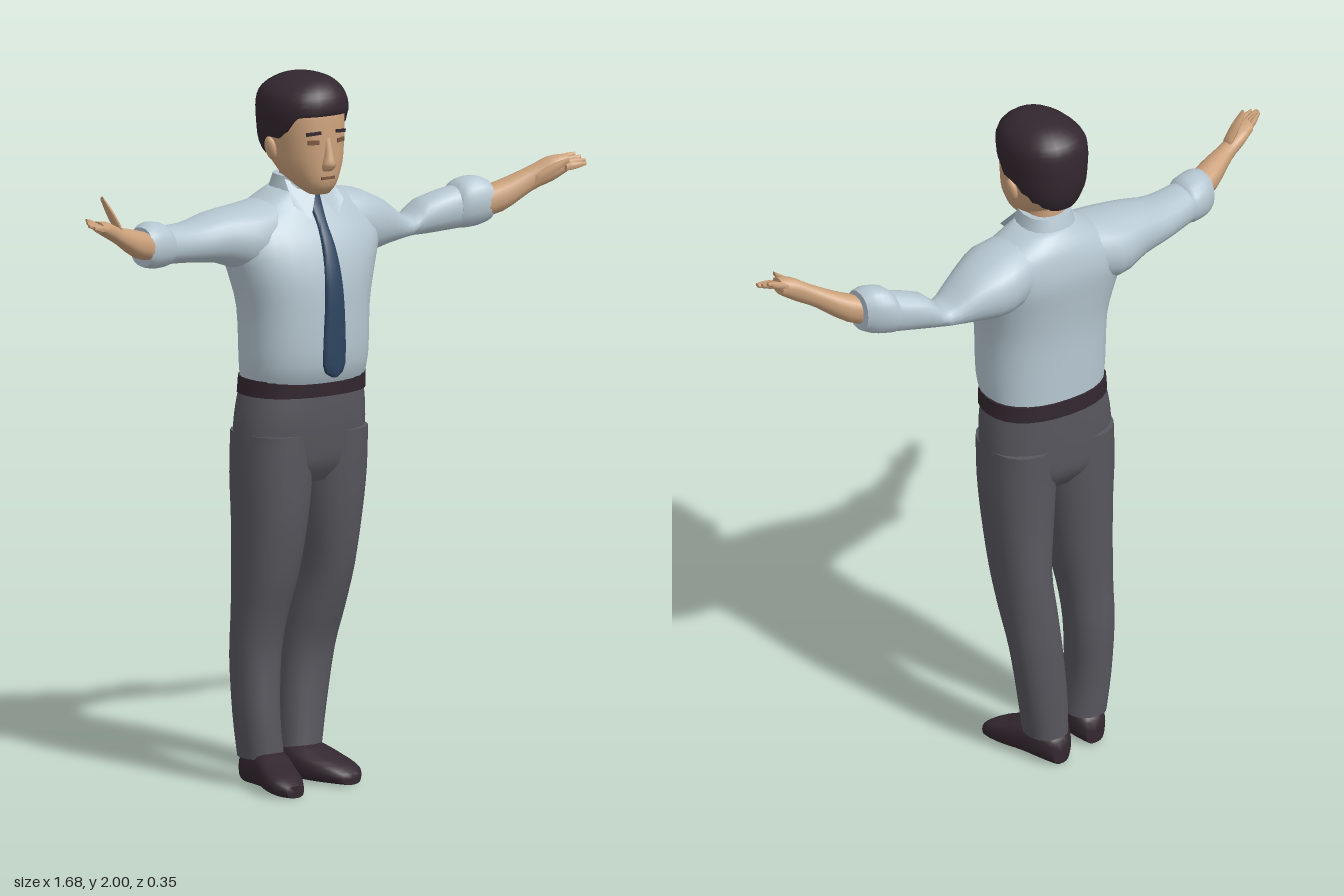
import * as THREE from 'three';
import { toCreasedNormals } from 'three/addons/utils/BufferGeometryUtils.js';

const mat = (name, color, side = THREE.FrontSide) => {
  const m = new THREE.MeshStandardMaterial({ color, side });
  m.name = name;
  return m;
};

// Cubic interpolation of a list of cross-sections
function smoothRings(rings, steps) {
  const out = [], n = rings.length;
  const at = i => rings[Math.min(n - 1, Math.max(0, i))];
  for (let i = 0; i < n - 1; i++) {
    for (let s = 0; s < steps; s++) {
      const t = s / steps;
      out.push(rings[i].map((p1, k) => {
        const p0 = at(i - 1)[k], p2 = at(i + 1)[k], p3 = at(i + 2)[k];
        return p1 + 0.5 * t * (p2 - p0 + t * (2 * p0 - 5 * p1 + 4 * p2 - p3 + t * (3 * (p1 - p2) + p3 - p0)));
      }));
    }
  }
  out.push(rings[n - 1]);
  return out;
}

// Closed skin over rounded sections [position, aMin, aMax, bMin, bMax].
// Axis y: a = x, b = z.  Axis x: a = y, b = z.  Axis z: a = x, b = y.
function loft(axis, sections, { segs = 20, power = 2.3, steps = 3, move } = {}) {
  const rings = smoothRings(sections, steps), pos = [], index = [];
  const put = (t, a, b) => {
    const p = axis === 'y' ? [a, t, b] : axis === 'x' ? [t, a, b] : [a, b, t];
    if (move) move(p);
    pos.push(...p);
  };
  const round = v => Math.sign(v) * Math.abs(v) ** (2 / power);
  for (const [t, a0, a1, b0, b1] of rings) {
    for (let j = 0; j < segs; j++) {
      const th = j / segs * Math.PI * 2;
      put(t, (a0 + a1) / 2 + (a1 - a0) / 2 * round(Math.cos(th)), (b0 + b1) / 2 + (b1 - b0) / 2 * round(Math.sin(th)));
    }
  }
  const last = rings.length - 1, flip = (axis !== 'y') !== (rings[last][0] < rings[0][0]);
  const tri = (a, b, c) => flip ? index.push(a, c, b) : index.push(a, b, c);
  for (const i of [0, last]) {
    const [t, a0, a1, b0, b1] = rings[i];
    put(t, (a0 + a1) / 2, (b0 + b1) / 2);
  }
  const c0 = rings.length * segs;
  for (let j = 0; j < segs; j++) {
    const k = (j + 1) % segs, e = last * segs;
    for (let i = 0; i < last; i++) {
      const p = i * segs, q = p + segs;
      tri(p + j, q + j, p + k);
      tri(p + k, q + j, q + k);
    }
    tri(c0, j, k);
    tri(c0 + 1, e + k, e + j);
  }
  const g = new THREE.BufferGeometry();
  g.setAttribute('position', new THREE.Float32BufferAttribute(pos, 3));
  g.setIndex(index);
  return toCreasedNormals(g, 0.9);
}

export function createModel() {
  const root = new THREE.Group();
  root.name = 'standingMan';
  const shirt = mat('shirtBlue', 0xb6c7d1), skin = mat('skin', 0xcca27c);
  const grey = mat('trouserGrey', 0x58575e), dark = mat('darkBrown', 0x33272f);
  const navy = mat('tieNavy', 0x2c4460), shade = mat('faceBrown', 0x7a573f);
  const cloth = mat('collarBlue', 0xb6c7d1, THREE.DoubleSide);
  const add = (name, geo, m) => {
    const mesh = new THREE.Mesh(geo, m);
    mesh.name = name;
    root.add(mesh);
    return mesh;
  };

  // Shirt body
  const torso = [
    [1.13, -.2, .155, -.15, .11], [1.2, -.213, .16, -.15, .14], [1.35, -.222, .165, -.15, .143],
    [1.45, -.248, .19, -.16, .135], [1.53, -.27, .22, -.17, .112], [1.59, -.25, .21, -.165, .08],
    [1.64, -.17, .15, -.15, .05], [1.68, -.1, .065, -.12, .035]];
  add('shirtBody', loft('y', torso, { segs: 28 }), shirt);

  // Tie follows the front of the shirt
  const tieHalf = [.006, .037, .033, .027, .021, .016, .02, .018];
  add('tie', loft('y', torso.map((r, i) => {
    const z = i ? r[4] : .138, w = tieHalf[i];
    return [i ? r[0] : 1.165, -.025 - w, -.025 + w, z - .012, z + .01];
  }), { segs: 12, power: 3 }), navy);

  // Collar band and flaps
  add('collarBand', loft('y', [[1.65, -.11, .07, -.125, .04], [1.685, -.098, .058, -.115, .045],
    [1.715, -.09, .05, -.105, .038]]), shirt);
  for (const s of [-1, 1]) {
    const flap = new THREE.BufferGeometry();
    const pts = [[.072, 1.71, 0], [.006, 1.675, .056], [.045, 1.605, .09], [.085, 1.645, .062]];
    flap.setAttribute('position', new THREE.Float32BufferAttribute(pts.flatMap(p => [-.022 + s * p[0], p[1], p[2]]), 3));
    flap.setIndex(s > 0 ? [0, 1, 2, 0, 2, 3] : [0, 2, 1, 0, 3, 2]);
    flap.computeVertexNormals();
    add('collarFlap', flap, cloth);
  }

  // Sleeves with rolled cuffs
  add('rightSleeve', loft('x', [
    [-.08, 1.5, 1.665, -.14, .04], [-.2, 1.46, 1.645, -.165, .07], [-.3, 1.49, 1.635, -.14, .05],
    [-.4, 1.505, 1.615, -.115, .04], [-.52, 1.515, 1.62, -.075, .045]]), shirt);
  add('rightCuff', loft('x', [
    [-.485, 1.515, 1.61, -.08, .04], [-.505, 1.508, 1.63, -.085, .05], [-.55, 1.508, 1.638, -.075, .056],
    [-.58, 1.517, 1.628, -.055, .055]]), shirt);
  add('leftSleeve', loft('x', [
    [.06, 1.5, 1.665, -.14, .04], [.17, 1.465, 1.65, -.17, .06], [.27, 1.475, 1.605, -.15, .02],
    [.355, 1.488, 1.545, -.125, -.01], [.41, 1.49, 1.59, -.112, 0], [.53, 1.5, 1.625, -.08, .025]]), shirt);
  add('leftCuff', loft('x', [
    [.5, 1.5, 1.615, -.09, .02], [.52, 1.498, 1.635, -.09, .032], [.56, 1.503, 1.643, -.075, .042],
    [.59, 1.515, 1.632, -.055, .045]]), shirt);

  // Forearms and palms
  add('rightForearm', loft('x', [
    [-.54, 1.53, 1.605, -.045, .045], [-.62, 1.55, 1.63, -.015, .07], [-.7, 1.6, 1.652, .028, .083],
    [-.75, 1.628, 1.675, .04, .105], [-.79, 1.65, 1.682, .058, .118]], { segs: 14 }), skin);
  add('leftForearm', loft('x', [
    [.54, 1.52, 1.6, -.05, .03], [.62, 1.54, 1.625, -.02, .06], [.7, 1.595, 1.662, .025, .085],
    [.75, 1.62, 1.69, .05, .11], [.79, 1.645, 1.695, .068, .122]], { segs: 14 }), skin);

  // Fingers and thumbs
  const finger = (name, x0, y0, z0, x1, y1, z1, r) => add(name, loft('x', [
    [x0, y0 - r, y0 + r, z0 - r, z0 + r], [(x0 + x1) / 2, (y0 + y1) / 2 - r, (y0 + y1) / 2 + r, (z0 + z1) / 2 - r, (z0 + z1) / 2 + r],
    [x1, y1 - r * .5, y1 + r * .5, z1 - r * .5, z1 + r * .5]], { segs: 8 }), skin);
  for (let i = 0; i < 4; i++) {
    const tip = .843 - Math.abs(i - 1.8) * .008, z = i * .015;
    finger('rightFinger', -.775, 1.662, .064 + z, -tip, 1.69 - i * .005, .085 + z, .0095);
    finger('leftFinger', .775, 1.675 - i * .004, .073 + z, tip, 1.69 - i * .007, .09 + z, .011);
  }
  finger('rightThumb', -.7, 1.645, .06, -.75, 1.735, .05, .016);
  finger('leftThumb', .7, 1.63, .075, .775, 1.685, .135, .014);

  // Neck, head, nose and ears
  add('neck', loft('y', [[1.64, -.085, .045, -.1, .03], [1.7, -.075, .035, -.09, .03], [1.78, -.075, .035, -.09, .04]]), skin);
  add('head', loft('y', [
    [1.672, -.05, .01, .03, .085], [1.7, -.08, .036, -.04, .107], [1.75, -.106, .064, -.1, .113],
    [1.8, -.118, .075, -.13, .114], [1.87, -.125, .081, -.14, .113], [1.92, -.12, .076, -.135, .105],
    [1.96, -.08, .04, -.09, .06]]), skin);
  add('nose', loft('y', [[1.742, -.042, -.008, .09, .118], [1.758, -.046, -.004, .09, .137],
    [1.79, -.038, -.012, .09, .13], [1.835, -.035, -.015, .09, .117]], { segs: 10, power: 1.7 }), skin);
  for (const s of [-1, 1]) {
    const ear = add('ear', new THREE.SphereGeometry(1, 12, 8), skin);
    ear.scale.set(.013, .034, .022);
    ear.position.set(-.023 + s * .104, 1.798, -.02);
    ear.rotation.z = -s * .2;
    // Eyes and brows
    const eye = add('eye', new THREE.BoxGeometry(.032, .012, .008), shade);
    eye.position.set(-.024 + s * .045, 1.825, .104);
    const brow = add('eyebrow', new THREE.BoxGeometry(.042, .009, .009), dark);
    brow.position.set(-.024 + s * .045, 1.85, .104);
    eye.rotation.y = brow.rotation.y = s * .35;
    brow.rotation.z = -s * .1;
  }
  add('mouth', new THREE.BoxGeometry(.045, .008, .009), shade).position.set(-.024, 1.722, .107);

  // Hair, cut along a hairline that drops from forehead to nape
  const hairline = [[-.2, 1.75], [-.12, 1.755], [-.035, 1.83], [.03, 1.83], [.075, 1.895], [.2, 1.905]];
  const cut = p => {
    const i = Math.max(1, hairline.findIndex(h => p[2] < h[0]));
    const [z0, y0] = hairline[i - 1], [z1, y1] = hairline[i];
    p[1] = Math.max(p[1], y0 + (y1 - y0) * (p[2] - z0) / (z1 - z0));
  };
  add('hair', loft('y', [
    [1.75, -.095, .052, -.132, .09], [1.8, -.124, .08, -.15, .1], [1.86, -.134, .089, -.156, .116],
    [1.92, -.137, .092, -.155, .122], [1.96, -.12, .078, -.14, .108], [1.99, -.075, .045, -.095, .07],
    [2, -.035, .01, -.05, .025]], { segs: 24, move: cut }), dark);

  // Belt
  add('belt', loft('y', [[1.108, -.212, .165, -.156, .117], [1.155, -.208, .162, -.156, .12]],
    { segs: 28, steps: 1 }), dark);

  // Trousers
  add('trouserSeat', loft('y', [[.86, -.19, .13, -.11, .06], [.91, -.222, .162, -.142, .09],
    [.97, -.228, .169, -.148, .1], [1.05, -.223, .168, -.15, .108], [1.13, -.205, .158, -.15, .11]], { segs: 28 }), grey);
  add('rightTrouserLeg', loft('y', [
    [.08, -.203, -.085, -.112, .025], [.2, -.215, -.095, -.12, .022], [.36, -.22, -.085, -.13, .015],
    [.48, -.22, -.072, -.128, .033], [.6, -.222, -.05, -.132, .065], [.75, -.225, -.03, -.137, .088],
    [.88, -.23, -.018, -.142, .096], [1, -.225, -.02, -.145, .1]]), grey);
  add('leftTrouserLeg', loft('y', [
    [.08, -.045, .075, -.152, -.022], [.2, -.04, .097, -.156, -.028], [.36, -.022, .125, -.161, -.025],
    [.48, -.01, .14, -.16, .012], [.6, 0, .15, -.155, .048], [.75, -.018, .162, -.146, .075],
    [.88, -.03, .17, -.145, .09], [1, -.03, .168, -.148, .1]]), grey);

  // Shoes
  const shoe = { segs: 18, power: 2.7 };
  add('rightShoe', loft('z', [
    [-.115, -.165, -.105, 0, .07], [-.08, -.19, -.088, 0, .1], [0, -.2, -.085, 0, .105],
    [.08, -.226, -.105, 0, .075], [.14, -.235, -.13, 0, .056], [.178, -.212, -.155, 0, .034]], shoe), dark);
  add('leftShoe', loft('z', [
    [-.155, -.02, .035, 0, .07], [-.12, -.048, .06, 0, .1], [-.05, -.052, .082, 0, .105],
    [.02, -.038, .104, 0, .078], [.08, -.005, .108, 0, .054], [.112, .025, .085, 0, .032]], shoe), dark);

  return root;
}
